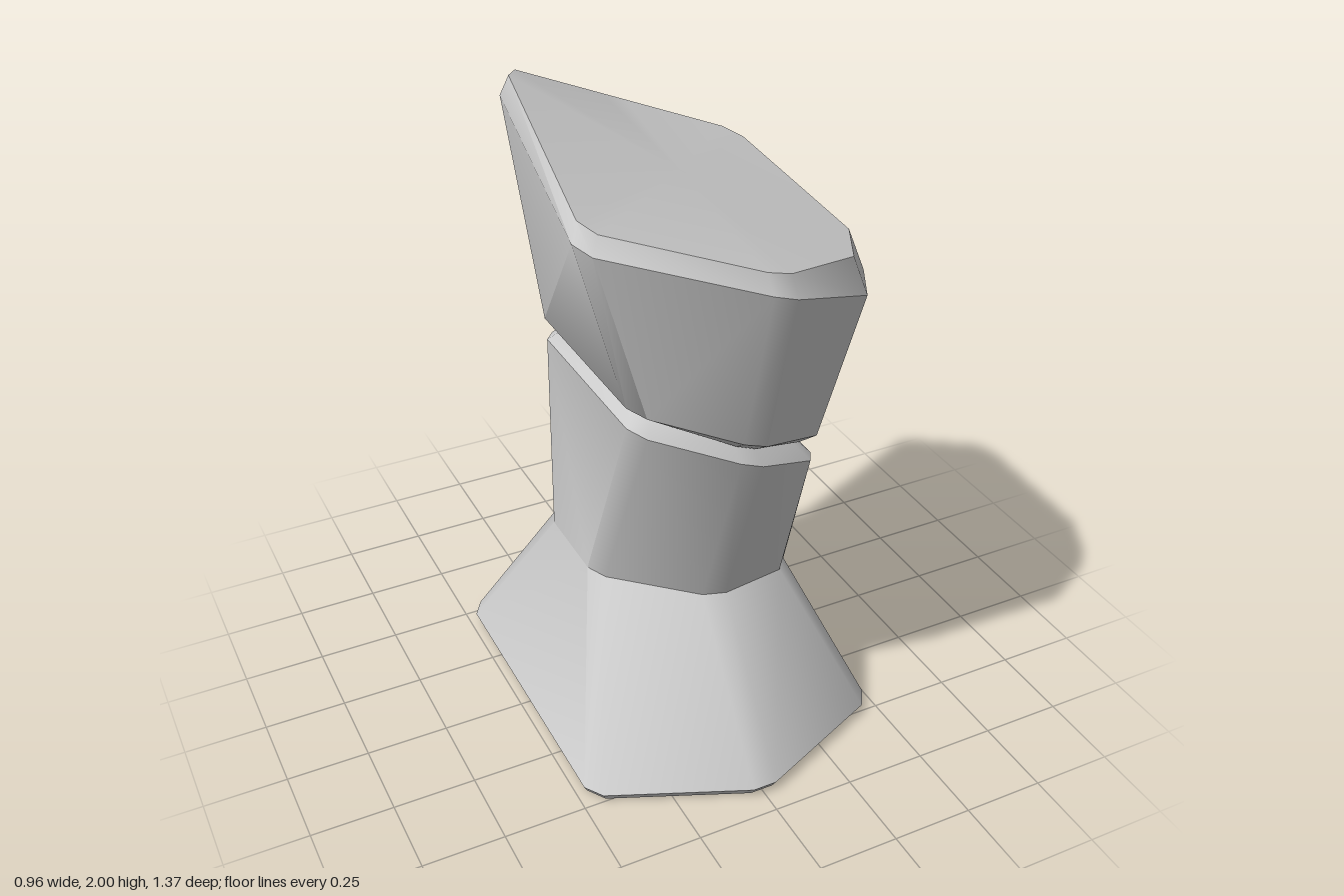
import * as THREE from 'three';
import { toCreasedNormals } from 'three/addons/utils/BufferGeometryUtils.js';

const material = new THREE.MeshStandardMaterial({ color: 0xcccccc });

// Corner order: front, left front, left back, back, right back, right front.
// Each corner is [x, y, z, optional bevel width].
function bevelRing(corners) {
  const pts = corners.map(c => new THREE.Vector3(c[0], c[1], c[2]));
  const n = pts.length;
  return pts.flatMap((p, i) => [n - 1, 1].map(step => {
    const dir = pts[(i + step) % n].clone().sub(p).normalize();
    return p.clone().addScaledVector(dir, corners[i][3] ?? 0.04);
  }));
}

function centre(ring) {
  return ring.reduce((sum, p) => sum.add(p), new THREE.Vector3()).divideScalar(ring.length);
}

// Shrunken copy of a ring, shifted in height, for the bevel around a cap
function inset(ring, amount, dy) {
  const mid = centre(ring);
  return ring.map(p => {
    const d = new THREE.Vector3(p.x - mid.x, 0, p.z - mid.z);
    const k = amount / d.length();
    return new THREE.Vector3(p.x - d.x * k, p.y + dy, p.z - d.z * k);
  });
}

// Closed stone skinned over a stack of rings, bottom to top
function stone(name, rings) {
  const pos = [];
  const tri = (...vs) => vs.forEach(v => pos.push(v.x, v.y, v.z));
  const n = rings[0].length;
  for (let k = 0; k < rings.length - 1; k++) {
    for (let j = 0; j < n; j++) {
      const i = (j + 1) % n;
      const a = rings[k][j], b = rings[k][i], c = rings[k + 1][i], d = rings[k + 1][j];
      if (k % 2) { tri(a, b, c); tri(a, c, d); }
      else { tri(a, b, d); tri(b, c, d); }
    }
  }
  const bottom = rings[0], top = rings[rings.length - 1];
  const low = centre(bottom), high = centre(top);
  for (let j = 0; j < n; j++) {
    const i = (j + 1) % n;
    tri(low, bottom[i], bottom[j]);
    tri(high, top[j], top[i]);
  }
  const geo = new THREE.BufferGeometry();
  geo.setAttribute('position', new THREE.Float32BufferAttribute(pos, 3));
  const mesh = new THREE.Mesh(toCreasedNormals(geo, 0.65), material);
  mesh.name = name;
  return mesh;
}

export function createModel() {
  const group = new THREE.Group();
  group.name = 'stackedStones';

  // Lower stone: flared foot, narrow waist with a dent at its right front, sloping top
  const foot = bevelRing([
    [0, 0.03, 0.695], [0.48, 0.03, 0.49], [0.48, 0.03, -0.49],
    [0, 0.03, -0.705], [-0.48, 0.03, -0.49], [-0.48, 0.03, 0.49]]);
  const waist = bevelRing([
    [0, 0.5, 0.35], [0.275, 0.5, 0.31], [0.275, 0.5, -0.23],
    [0, 0.5, -0.425], [-0.28, 0.5, -0.25], [-0.28, 0.5, 0.09]]);
  const shoulder = bevelRing([
    [0, 1.08, 0.555], [0.27, 0.96, 0.44], [0.27, 0.97, -0.16],
    [0, 1.12, -0.27], [-0.305, 1.2, -0.18], [-0.305, 1.2, 0.44]]);
  group.add(stone('lowerStone',
    [inset(foot, 0.02, -0.03), foot, waist, shoulder, inset(shoulder, 0.05, 0.04)]));

  // Upper stone: widens upward, slanted top, chipped left front corner
  const base = bevelRing([
    [0, 1.15, 0.57], [0.28, 1.05, 0.45], [0.28, 1.05, -0.15],
    [0, 1.18, -0.26], [-0.31, 1.27, -0.18], [-0.31, 1.27, 0.45]]);
  const rim = bevelRing([
    [0, 1.65, 0.695], [0.42, 1.48, 0.5, 0.11], [0.345, 1.67, -0.22],
    [0, 1.78, -0.375], [-0.39, 1.95, -0.22], [-0.475, 1.79, 0.5]]);
  const crown = bevelRing([
    [0, 1.7, 0.66], [0.4, 1.59, 0.45, 0.11], [0.325, 1.715, -0.19],
    [0, 1.82, -0.345], [-0.37, 2.01, -0.2], [-0.45, 1.835, 0.475]]);
  group.add(stone('upperStone', [inset(base, 0.05, -0.035), base, rim, crown]));

  return group;
}
